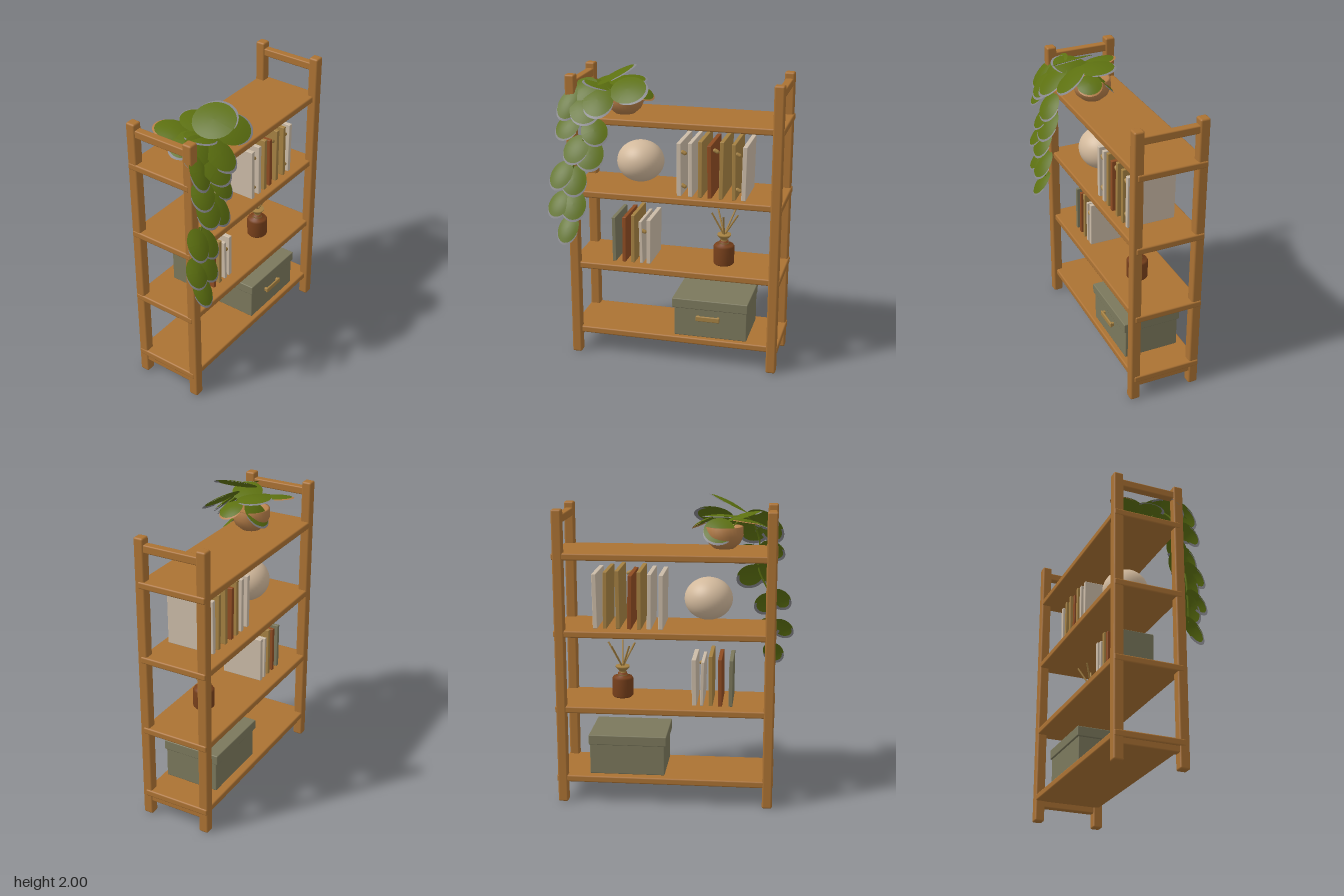
import * as THREE from 'three';
import { RoundedBoxGeometry } from 'three/addons/geometries/RoundedBoxGeometry.js';

const mat = (name, color, side = THREE.FrontSide) => {
  const m = new THREE.MeshStandardMaterial({ color, side });
  m.name = name;
  return m;
};

export function createModel() {
  const root = new THREE.Group();
  root.name = 'shelfUnit';
  const wood = mat('wood', 0xab7233);
  const cream = mat('cream', 0xd2b99c);
  const paper = mat('paper', 0xcbbba7);
  const rust = mat('rust', 0x8f4c22);
  const tan = mat('tan', 0xa58142);
  const brown = mat('brown', 0x78401b);
  const sage = mat('sage', 0x7b785c);
  const green = mat('leafGreen', 0x5c7010, THREE.DoubleSide);
  const grey = mat('leafGrey', 0x85858a, THREE.DoubleSide);
  const clay = mat('clay', 0xb47d48, THREE.DoubleSide);

  const add = (name, geo, m, x = 0, y = 0, z = 0, parent = root) => {
    const mesh = new THREE.Mesh(geo, m);
    mesh.name = name;
    mesh.position.set(x, y, z);
    parent.add(mesh);
    return mesh;
  };
  // Rounded box given by its minimum and maximum corners
  const block = (name, m, a, b, r = 0.008, parent = root) =>
    add(name, new RoundedBoxGeometry(b[0] - a[0], b[1] - a[1], b[2] - a[2], 2, r), m,
      (a[0] + b[0]) / 2, (a[1] + b[1]) / 2, (a[2] + b[2]) / 2, parent);

  // Frame: posts, side rails and shelves
  for (const x of [-0.622, 0.725]) {
    for (const z of [-0.292, 0.128])
      block('post', wood, [x - 0.033, 0, z - 0.033], [x + 0.033, 1.94, z + 0.033], 0.012);
    block('topRail', wood, [x - 0.026, 1.848, -0.27], [x + 0.026, 1.9, 0.11]);
    block('bottomRail', wood, [x - 0.026, 0.1, -0.27], [x + 0.026, 0.175, 0.11]);
  }
  for (const y of [0.185, 0.66, 1.165, 1.665])
    block('shelf', wood, [-0.658, y - 0.045, -0.322], [0.765, y, 0.138], 0.01);

  // Round ornament
  add('ornament', new THREE.SphereGeometry(1, 40, 28), cream, -0.215, 1.343, -0.06).scale.set(0.157, 0.139, 0.15);

  // Books: x, height, thickness, lean, material
  const books = (name, y, z0, z1, list) => {
    const group = new THREE.Group();
    group.name = name;
    root.add(group);
    for (const [x, h, t, lean, m] of list) {
      const b = block('book', m, [x - t / 2, y, z0], [x + t / 2, y + h, z1], 0.004, group);
      b.rotation.z = lean;
    }
  };
  books('upperBooks', 1.165, -0.235, 0.09, [
    [0.08, 0.355, 0.03, 0.01, paper], [0.155, 0.36, 0.028, 0.01, paper],
    [0.22, 0.375, 0.028, 0, tan], [0.281, 0.35, 0.028, 0.02, rust],
    [0.359, 0.38, 0.028, -0.01, tan], [0.44, 0.37, 0.026, 0.015, tan],
    [0.508, 0.357, 0.03, -0.015, paper]]);
  books('lowerBooks', 0.66, -0.225, 0.06, [
    [-0.373, 0.31, 0.026, 0.01, sage], [-0.303, 0.315, 0.026, -0.01, rust],
    [-0.242, 0.335, 0.026, -0.005, tan], [-0.187, 0.295, 0.022, 0.025, paper],
    [-0.134, 0.31, 0.03, -0.01, paper]]);

  // Small clasps between the books
  for (const [x, y, z] of [[0.108, 1.455, 0.07], [0.108, 1.232, 0.07], [0.32, 1.48, 0.07],
    [0.465, 1.465, 0.07], [0.47, 1.23, 0.07], [-0.17, 0.885, 0.045]])
    add('clasp', new THREE.CapsuleGeometry(0.013, 0.018, 4, 10), tan, x, y, z).rotation.z = 1.1;

  // Reed diffuser
  const lathe = (pts, n = 32) => new THREE.LatheGeometry(pts.map(p => new THREE.Vector2(...p)), n);
  const diffuser = new THREE.Group();
  diffuser.name = 'reedDiffuser';
  diffuser.position.set(0.355, 0.66, -0.063);
  root.add(diffuser);
  add('bottle', lathe([[0, 0], [0.06, 0], [0.069, 0.01], [0.07, 0.125], [0.062, 0.138],
    [0.03, 0.148], [0.03, 0.165], [0, 0.165]]), brown, 0, 0.005, 0, diffuser);
  add('collar', lathe([[0, 0], [0.036, 0], [0.022, 0.022], [0.024, 0.035], [0.046, 0.058],
    [0.046, 0.068], [0, 0.068]]), tan, 0, 0.148, 0, diffuser);
  for (const [x, z] of [[-0.08, 0.03], [-0.055, -0.06], [0.01, 0.09], [0.06, -0.08], [0.098, 0.03]]) {
    const path = new THREE.LineCurve3(new THREE.Vector3(-x * 0.1, 0.19, -z * 0.1), new THREE.Vector3(x, 0.368, z));
    add('reed', new THREE.TubeGeometry(path, 1, 0.006, 8), tan, 0, 0, 0, diffuser);
  }

  // Storage box with lid and handle
  block('boxBody', sage, [0.055, 0.185, -0.268], [0.55, 0.4, 0.106], 0.006);
  block('boxLid', sage, [0.042, 0.388, -0.28], [0.556, 0.455, 0.118], 0.006);
  block('boxHandle', tan, [0.208, 0.31, 0.12], [0.37, 0.346, 0.134], 0.006);
  for (const x of [0.22, 0.358]) block('handleMount', tan, [x - 0.01, 0.315, 0.1], [x + 0.01, 0.341, 0.125], 0.004);

  // Plant pot
  add('plantPot', lathe([[0, 0], [0.065, 0], [0.105, 0.035], [0.125, 0.085], [0.122, 0.14],
    [0.11, 0.14], [0.1, 0.11], [0, 0.11]]), clay, -0.31, 1.67, -0.035);

  // Cupped leaf: unit disc bent by a rule, with a pale crescent at the tip
  const cup = (geo, dy, dz) => {
    const p = geo.attributes.position;
    for (let i = 0; i < p.count; i++) {
      const x = p.getX(i), y = p.getY(i);
      p.setXYZ(i, x, y + dy, dz - 0.14 * (x * x + y * y));
    }
    geo.computeVertexNormals();
    return geo;
  };
  const blade = cup(new THREE.RingGeometry(0.001, 1, 26, 4), 0, 0);
  const crescent = cup(new THREE.RingGeometry(0.8, 1, 20, 1, 0, Math.PI), 0.13, -0.06);
  const plant = new THREE.Group();
  plant.name = 'plantLeaves';
  root.add(plant);
  const leaf = (c, tip, normal, w, l, rim = grey) => {
    const d = new THREE.Vector3(...tip).normalize();
    const side = new THREE.Vector3().crossVectors(d, new THREE.Vector3(...normal)).normalize();
    const n = new THREE.Vector3().crossVectors(side, d);
    const g = new THREE.Group();
    g.name = 'leaf';
    g.position.set(...c);
    g.quaternion.setFromRotationMatrix(new THREE.Matrix4().makeBasis(side, d, n));
    g.scale.set(w, l, 0.1);
    add('leafBlade', blade, green, 0, 0, 0, g);
    add('leafRim', crescent, rim, 0, 0, 0, g);
    plant.add(g);
  };
  const up = [0, 1, 0.25];
  // Crown leaves above the pot
  leaf([-0.34, 1.955, 0.09], [1, 0.5, 0.1], [-0.4, 1, 0.1], 0.14, 0.13);
  leaf([-0.24, 1.87, 0.15], [0.9, -0.15, 0.5], [0, 0.8, 0.7], 0.11, 0.13);
  leaf([-0.17, 1.84, 0.04], [1, -0.5, 0.1], [0.4, 1, 0.2], 0.08, 0.08, clay);
  leaf([-0.3, 1.89, -0.06], [0.7, 0.1, -0.7], [0.2, 1, -0.1], 0.11, 0.12);
  leaf([-0.28, 1.8, -0.1], [0.3, -0.7, -0.7], [0, 0.7, -0.7], 0.1, 0.1);
  leaf([-0.45, 1.87, -0.14], [-0.2, 0.1, -1], [-0.2, 1, -0.2], 0.09, 0.11, clay);
  leaf([-0.5, 1.84, 0], [-1, -0.3, 0], [-0.3, 1, 0.2], 0.09, 0.11);
  leaf([-0.43, 1.88, 0.06], [-0.7, 0.2, 0.7], up, 0.1, 0.12);
  leaf([-0.42, 1.8, 0.2], [0.1, -0.6, 0.7], [0, 0.7, 0.7], 0.1, 0.12);
  leaf([-0.55, 1.85, 0.13], [-0.7, -0.5, 0.4], [-0.2, 0.7, 0.7], 0.09, 0.11);
  leaf([-0.61, 1.77, 0.2], [-0.3, -0.7, 0.5], [0, 0.6, 0.8], 0.075, 0.11);
  leaf([-0.5, 1.75, 0.23], [0.3, -0.6, 0.6], [0, 0.7, 0.7], 0.1, 0.11);
  // Trailing leaves: x, y, half width, half length, sideways lean
  for (const [x, y, w, l, lean] of [[-0.62, 1.63, 0.08, 0.095, -0.5], [-0.44, 1.605, 0.085, 0.095, 0.5],
    [-0.57, 1.48, 0.085, 0.1, -0.3], [-0.48, 1.455, 0.095, 0.11, 0.3], [-0.675, 1.3, 0.075, 0.1, -0.3],
    [-0.59, 1.27, 0.085, 0.105, 0.25], [-0.695, 1.1, 0.075, 0.095, -0.35], [-0.598, 1.1, 0.085, 0.105, 0.2],
    [-0.64, 0.93, 0.07, 0.1, -0.15]])
    leaf([x, y, 0.225], [lean, -0.8, 0.58], [lean * 0.4, 0.6, 0.8], w, l);
  // Vine carrying the trailing leaves
  const vine = new THREE.CatmullRomCurve3([[-0.33, 1.78, -0.02], [-0.45, 1.85, 0.1], [-0.53, 1.7, 0.18],
    [-0.53, 1.5, 0.185], [-0.62, 1.3, 0.18], [-0.64, 1.15, 0.18], [-0.63, 0.97, 0.19]].map(p => new THREE.Vector3(...p)));
  add('vine', new THREE.TubeGeometry(vine, 40, 0.006, 6), green, 0, 0, 0, plant);

  return root;
}
